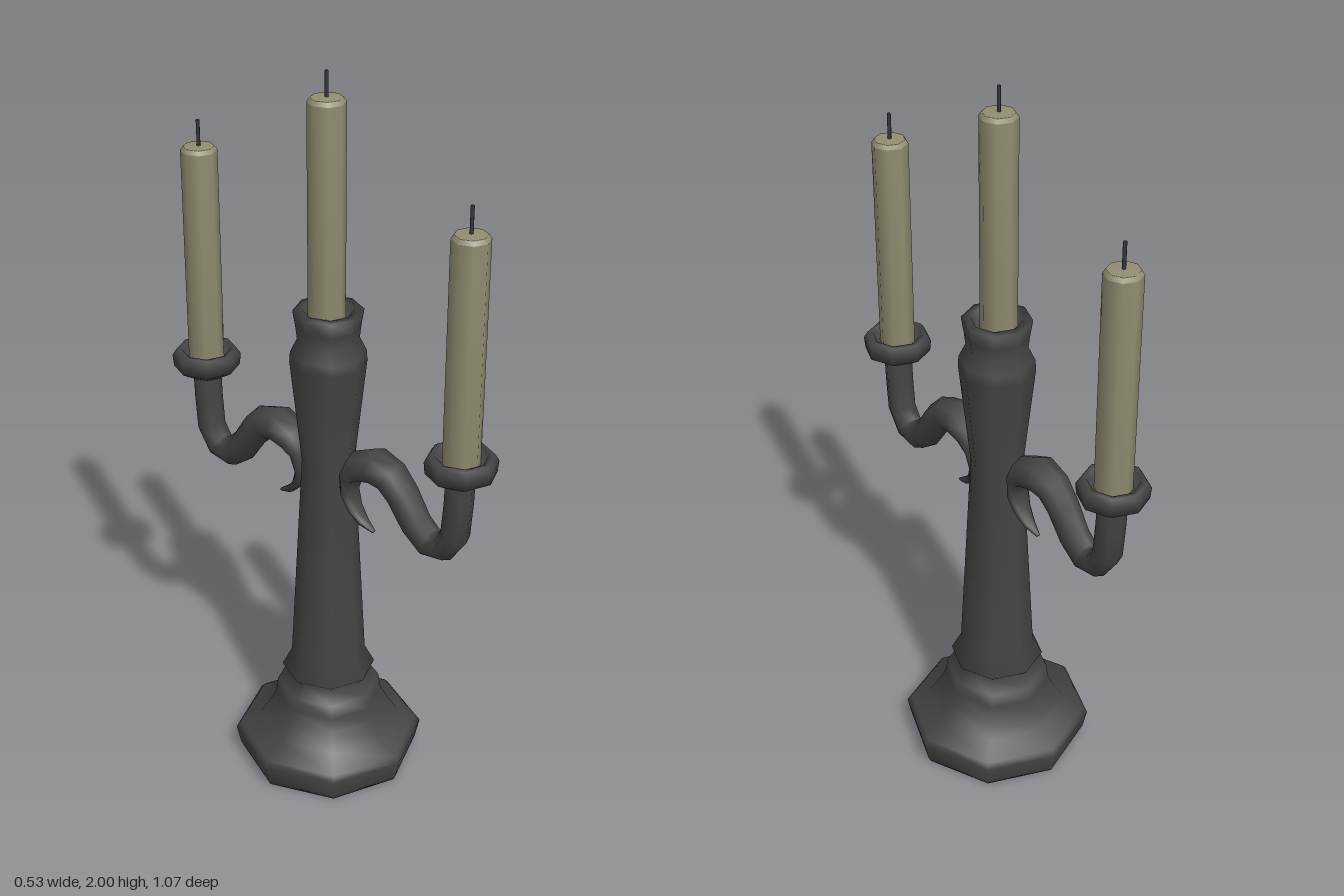
import * as THREE from 'three';

const SIDES = 8;
const metal = new THREE.MeshStandardMaterial({ color: 0x444444 });
metal.name = 'dark iron';
const wax = new THREE.MeshStandardMaterial({ color: 0x918e71 });
wax.name = 'old wax';
const wickMat = new THREE.MeshStandardMaterial({ color: 0x343a40 });
wickMat.name = 'wick';

// Turned part from [radius, height] pairs, listed bottom to top
function turned(name, profile, material) {
  const points = profile.map(([r, y]) => new THREE.Vector2(r, y));
  const mesh = new THREE.Mesh(new THREE.LatheGeometry(points, SIDES), material);
  mesh.name = name;
  return mesh;
}

// Candle with a bevelled top and a thin wick
function candle(name, bottom, top, wickTop) {
  const group = new THREE.Group();
  group.name = name;
  const body = turned('candleWax', [
    [0, bottom], [0.048, bottom], [0.048, top - 0.012], [0.048, top - 0.01],
    [0.041, top], [0.04, top], [0, top + 0.002],
  ], wax);
  const wick = new THREE.Mesh(new THREE.CylinderGeometry(0.005, 0.005, wickTop - top, 6), wickMat);
  wick.name = 'wick';
  wick.position.y = (top + wickTop) / 2;
  group.add(body, wick);
  return group;
}

// Tapered tube lying in the yz plane, through [z, y, half thickness, half width] stations
function armGeometry(stations) {
  const positions = [];
  const index = [];
  stations.forEach(([z, y, thick, wide], i) => {
    const a = stations[Math.max(i - 1, 0)];
    const b = stations[Math.min(i + 1, stations.length - 1)];
    const len = Math.hypot(b[0] - a[0], b[1] - a[1]);
    const nz = -(b[1] - a[1]) / len;
    const ny = (b[0] - a[0]) / len;
    for (let j = 0; j < SIDES; j++) {
      const t = (j / SIDES) * Math.PI * 2;
      const s = Math.sin(t) * thick;
      positions.push(Math.cos(t) * wide, y + ny * s, z + nz * s);
    }
  });
  for (let i = 0; i < stations.length - 1; i++) {
    for (let j = 0; j < SIDES; j++) {
      const p = i * SIDES + j;
      const q = i * SIDES + ((j + 1) % SIDES);
      index.push(p, p + SIDES, q, q, p + SIDES, q + SIDES);
    }
  }
  // close the pointed tail
  const last = (stations.length - 1) * SIDES;
  for (let j = 1; j < SIDES - 1; j++) index.push(last, last + j + 1, last + j);

  // make sure the faces point outwards (signed volume test)
  let volume = 0;
  const v = (k) => new THREE.Vector3().fromArray(positions, k * 3);
  for (let k = 0; k < index.length; k += 3) {
    volume += v(index[k]).dot(v(index[k + 1]).cross(v(index[k + 2])));
  }
  if (volume < 0) index.reverse();

  const geometry = new THREE.BufferGeometry();
  geometry.setAttribute('position', new THREE.Float32BufferAttribute(positions, 3));
  geometry.setIndex(index);
  geometry.computeVertexNormals();
  return geometry;
}

// S-shaped arm from the cup down, over the hump and into the curled tail
const ARM = [
  [0.44, 1.08, 0.037, 0.039],
  [0.437, 0.99, 0.037, 0.039],
  [0.43, 0.9, 0.038, 0.039],
  [0.397, 0.85, 0.038, 0.039],
  [0.35, 0.845, 0.042, 0.039],
  [0.305, 0.88, 0.043, 0.039],
  [0.26, 0.945, 0.044, 0.042],
  [0.22, 0.985, 0.046, 0.047],
  [0.17, 0.998, 0.049, 0.052],
  [0.115, 0.977, 0.042, 0.05],
  [0.087, 0.94, 0.026, 0.044],
  [0.08, 0.89, 0.016, 0.036],
  [0.098, 0.845, 0.014, 0.028],
  [0.13, 0.812, 0.011, 0.018],
  [0.165, 0.795, 0.004, 0.006],
];

// Arm with its cup and candle, reaching towards +z
function branch(name) {
  const group = new THREE.Group();
  group.name = name;
  const arm = new THREE.Mesh(armGeometry(ARM), metal);
  arm.name = 'curvedArm';
  const cup = turned('candleCup', [
    [0, 1.055], [0.045, 1.055], [0.09, 1.083], [0.093, 1.115], [0.082, 1.132],
    [0.066, 1.13], [0.058, 1.108], [0, 1.108],
  ], metal);
  cup.position.z = 0.44;
  const stick = candle('sideCandle', 1.1, 1.71, 1.78);
  stick.position.z = 0.44;
  group.add(arm, cup, stick);
  return group;
}

export function createModel() {
  const model = new THREE.Group();
  model.name = 'candelabra';

  // Base, stem and top socket in one turned profile
  model.add(turned('baseAndStem', [
    [0, 0], [0.245, 0], [0.252, 0.015], [0.264, 0.07], [0.25, 0.085], [0.195, 0.12],
    [0.165, 0.165], [0.148, 0.2], [0.142, 0.24], [0.102, 0.262], [0.129, 0.29],
    [0.102, 0.342], [0.07, 0.95], [0.1, 1.24], [0.098, 1.268], [0.08, 1.305],
    [0.084, 1.34], [0.091, 1.383], [0.066, 1.383], [0.058, 1.35], [0, 1.35],
  ], metal));

  const middle = candle('centreCandle', 1.34, 1.935, 2);
  middle.position.x = -0.006;
  model.add(middle);

  // Matching branches, front and back
  ['frontBranch', 'backBranch'].forEach((name, i) => {
    const b = branch(name);
    b.rotation.y = i * Math.PI;
    b.position.x = -0.006;
    model.add(b);
  });
  return model;
}
